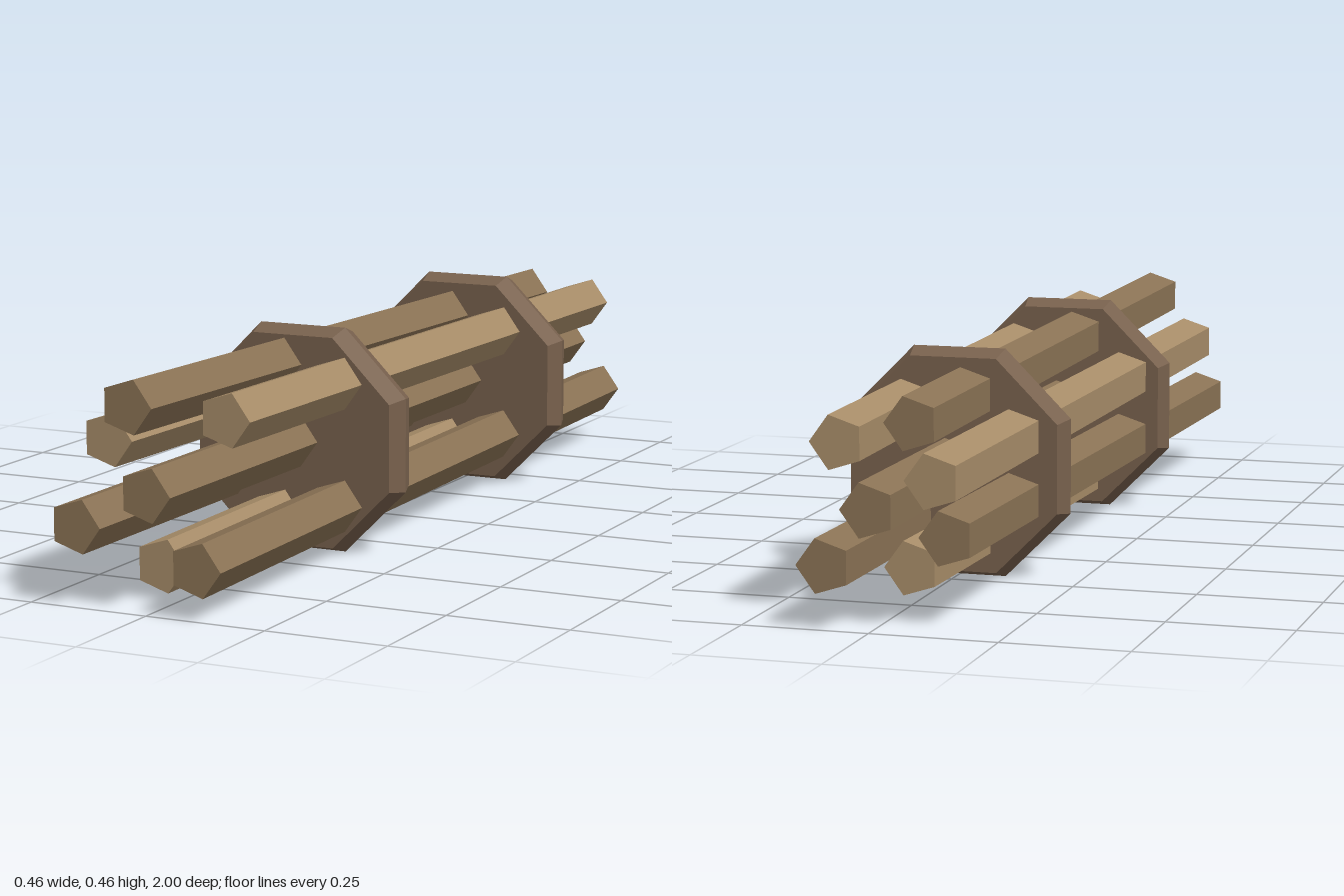
import * as THREE from 'three';

const CENTRE_Y = 0.2295;

const material = (color) => new THREE.MeshStandardMaterial({ color, flatShading: true });

// Five-sided stick running from z0 to z1, sheared so it leans towards the bundle's axis at the back
function stickGeometry(angle, onRing, z0, z1) {
  const geometry = new THREE.CylinderGeometry(0.055, 0.055, z1 - z0, 5, 1, false, Math.PI / 2);
  geometry.rotateX(Math.PI / 2).translate(0, 0, (z0 + z1) / 2);
  const p = geometry.attributes.position;
  for (let i = 0; i < p.count; i++) {
    const r = onRing ? THREE.MathUtils.mapLinear(p.getZ(i), -1, 1, 0.139, 0.168) : 0;
    p.setX(i, p.getX(i) + r * Math.cos(angle));
    p.setY(i, p.getY(i) + r * Math.sin(angle));
  }
  geometry.computeVertexNormals();
  return geometry;
}

// Solid octagonal band with a ridged rim
function bandGeometry() {
  const h = 0.046;
  const profile = [[0, -h], [0.232, -h], [0.248, 0], [0.232, h], [0, h]];
  const geometry = new THREE.LatheGeometry(profile.map(([x, y]) => new THREE.Vector2(x, y)), 8, Math.PI / 8);
  return geometry.rotateX(Math.PI / 2);
}

export function createModel() {
  const group = new THREE.Group();
  const darkWood = material(0x8b7355);
  const lightWood = material(0xa88d69);
  const bandMaterial = material(0x78614d);

  // One stick in the middle and six around it, with staggered ends
  const backEnds = [-1, -0.92, -0.84];
  for (let i = 0; i < 7; i++) {
    const odd = i % 2 === 1;
    const geometry = stickGeometry((i / 7) * Math.PI * 2, i > 0, backEnds[i % 3], odd ? 0.88 : 1);
    const stick = new THREE.Mesh(geometry, odd ? lightWood : darkWood);
    stick.name = i === 0 ? 'centreStick' : `outerStick${i}`;
    stick.position.y = CENTRE_Y;
    group.add(stick);
  }

  // Bands holding the bundle together
  for (const [name, z] of [['frontBand', 0.358], ['backBand', -0.442]]) {
    const band = new THREE.Mesh(bandGeometry(), bandMaterial);
    band.name = name;
    band.position.set(0, CENTRE_Y, z);
    group.add(band);
  }
  return group;
}
